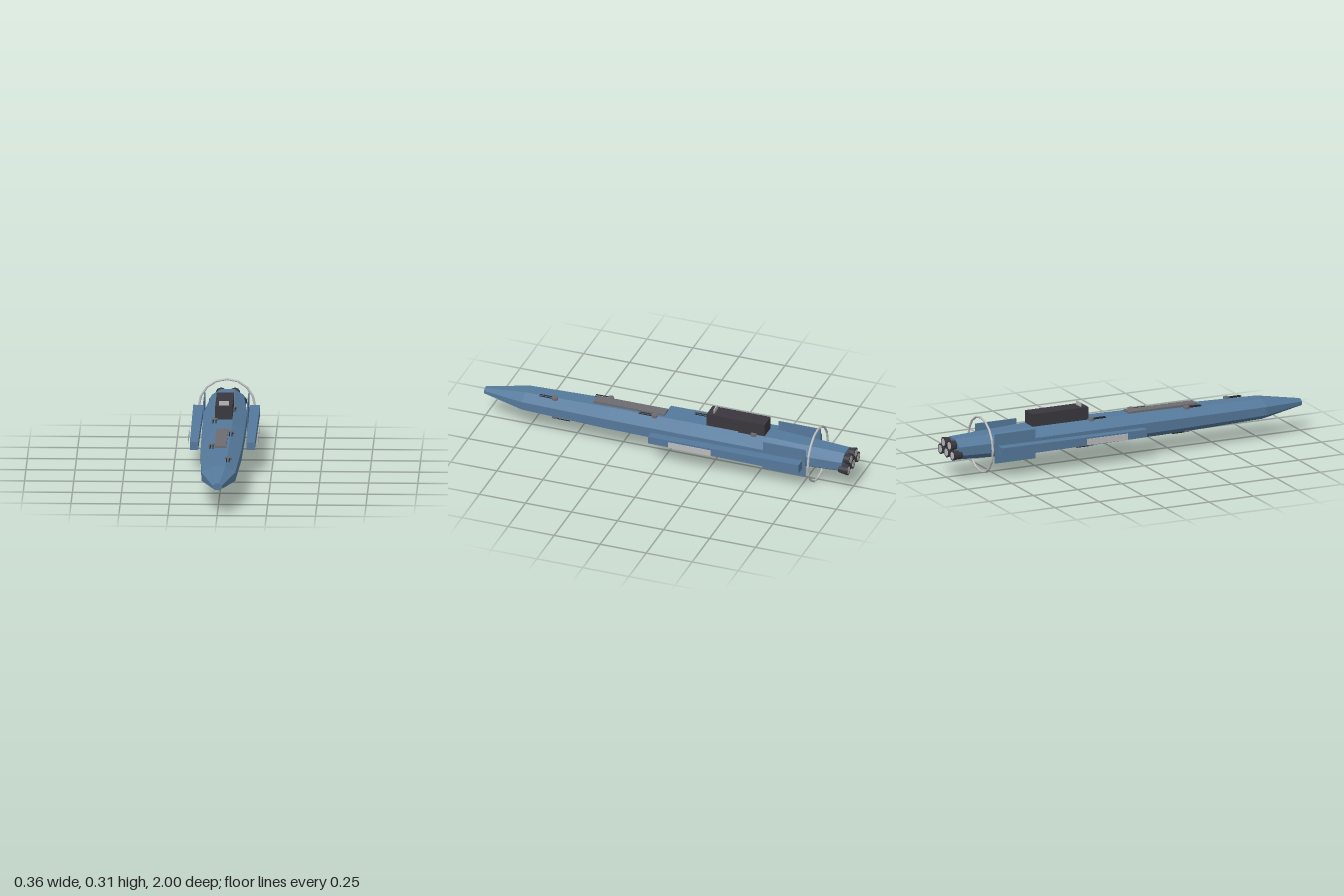
import * as THREE from 'three';

const mat = (name, color) => {
  const m = new THREE.MeshStandardMaterial({ color });
  m.name = name;
  return m;
};

// Faceted normals for every part
function flat(geo) {
  const g = geo.index ? geo.toNonIndexed() : geo;
  g.computeVertexNormals();
  return g;
}

// Skin n-sided elliptical sections [z, radiusX, radiusY], listed front to back
function loft(sections, n) {
  const pos = [], idx = [];
  for (const [z, rx, ry] of sections) {
    for (let i = 0; i < n; i++) {
      const a = ((i + 0.5) / n) * Math.PI * 2;
      pos.push(Math.cos(a) * rx, Math.sin(a) * ry, z);
    }
  }
  const last = sections.length - 1;
  for (let s = 0; s < last; s++) {
    for (let i = 0; i < n; i++) {
      const a = s * n + i, b = s * n + ((i + 1) % n);
      idx.push(a, a + n, b, b, a + n, b + n);
    }
  }
  for (let i = 1; i < n - 1; i++) {
    idx.push(0, i, i + 1);
    idx.push(last * n, last * n + i + 1, last * n + i);
  }
  const g = new THREE.BufferGeometry();
  g.setAttribute('position', new THREE.Float32BufferAttribute(pos, 3));
  g.setIndex(idx);
  return flat(g);
}

const AXIS_Y = 0.15;
const HULL = [
  [1, 0.026, 0.018],
  [0.77, 0.093, 0.057],
  [0.3, 0.112, 0.069],
  [-0.15, 0.118, 0.074],
  [-0.55, 0.12, 0.075],
  [-0.965, 0.088, 0.058],
];

// Height of the flat hull deck above the axis at a given z
function deckHeight(z) {
  for (let i = 0; i < HULL.length - 1; i++) {
    const [z0, , r0] = HULL[i], [z1, , r1] = HULL[i + 1];
    if (z <= z0 && z >= z1) {
      return THREE.MathUtils.lerp(r0, r1, (z0 - z) / (z0 - z1)) * Math.cos(Math.PI / 8);
    }
  }
  return 0;
}

export function createModel() {
  const blue = mat('hull blue', 0x55799b);
  const dark = mat('dark grey', 0x39373d);
  const grey = mat('mid grey', 0x6c6b70);
  const light = mat('light grey', 0xbcbcbe);
  const black = mat('gun black', 0x222328);

  const model = new THREE.Group();
  const add = (name, geo, material, x = 0, y = 0, z = 0, parent = model) => {
    const mesh = new THREE.Mesh(geo, material);
    mesh.name = name;
    mesh.position.set(x, y, z);
    parent.add(mesh);
    return mesh;
  };
  const box = (name, w, h, d, material, x, y, z) =>
    add(name, flat(new THREE.BoxGeometry(w, h, d)), material, x, y, z);

  add('hull', loft(HULL, 8), blue, 0, AXIS_Y, 0);

  // Command tower with its sensor plate, and the deck hatch
  box('tower', 0.088, 0.085, 0.315, dark, 0, 0.2425, -0.375);
  box('sensorPlate', 0.05, 0.024, 0.006, light, 0, 0.295, -0.25);
  box('deckHatch', 0.06, 0.012, 0.385, grey, 0, 0.219, 0.21);

  // Side pods, their outer panels and the upright fins
  const podGeo = loft([[0.055, 0.03, 0.028], [-0.765, 0.037, 0.034]], 4);
  for (const side of [1, -1]) {
    add('sidePod', podGeo, blue, side * 0.144, 0.142, 0);
    box('podPanel', 0.003, 0.032, 0.23, light, side * 0.177, 0.142, -0.175);
    box('fin', 0.005, 0.154, 0.23, blue, side * 0.112, 0.15, -0.665);
  }

  // Ring around the stern
  const ringGeo = flat(new THREE.TorusGeometry(0.143, 0.006, 8, 16));
  add('sternRing', ringGeo, light, 0, 0.149, -0.805);

  // Engine bells: two above, three below
  const bellGeo = flat(new THREE.CylinderGeometry(0.02, 0.028, 0.05, 10).rotateX(Math.PI / 2));
  const glowGeo = flat(new THREE.CylinderGeometry(0.02, 0.02, 0.002, 10).rotateX(Math.PI / 2));
  for (const [x, y] of [[-0.035, 0.175], [0.035, 0.175], [-0.07, 0.132], [0, 0.132], [0.07, 0.132]]) {
    add('engineBell', bellGeo, dark, x, y, -0.974);
    add('engineNozzle', glowGeo, light, x, y, -0.999);
  }

  // Twin-gun turrets, alternating sides along the deck and keel
  const baseGeo = flat(new THREE.CylinderGeometry(0.016, 0.017, 0.014, 10));
  const barrelGeo = flat(new THREE.CylinderGeometry(0.003, 0.003, 0.07, 6).rotateX(Math.PI / 2));
  for (let i = 0; i < 5; i++) {
    const x = i % 2 ? -0.045 : 0.045;
    const z = -0.475 + i * 0.27;
    for (const up of [1, -1]) {
      const turret = new THREE.Group();
      turret.name = up > 0 ? 'deckTurret' : 'keelTurret';
      add('turretBase', baseGeo, grey, 0, 0, 0, turret);
      for (const s of [-1, 1]) add('barrel', barrelGeo, black, s * 0.007, 0.001, 0.048, turret);
      const h = deckHeight(z);
      turret.position.set(x, AXIS_Y + (up > 0 ? h + 0.001 : -h + 0.006), z);
      if (up < 0) turret.rotation.x = Math.PI;
      // Keel bases are sunk flush so only the barrels show
      if (up < 0) turret.children[0].position.y = -0.002;
      if (up < 0) for (const b of turret.children.slice(1)) b.position.y = 0.005;
      model.add(turret);
    }
  }

  return model;
}
